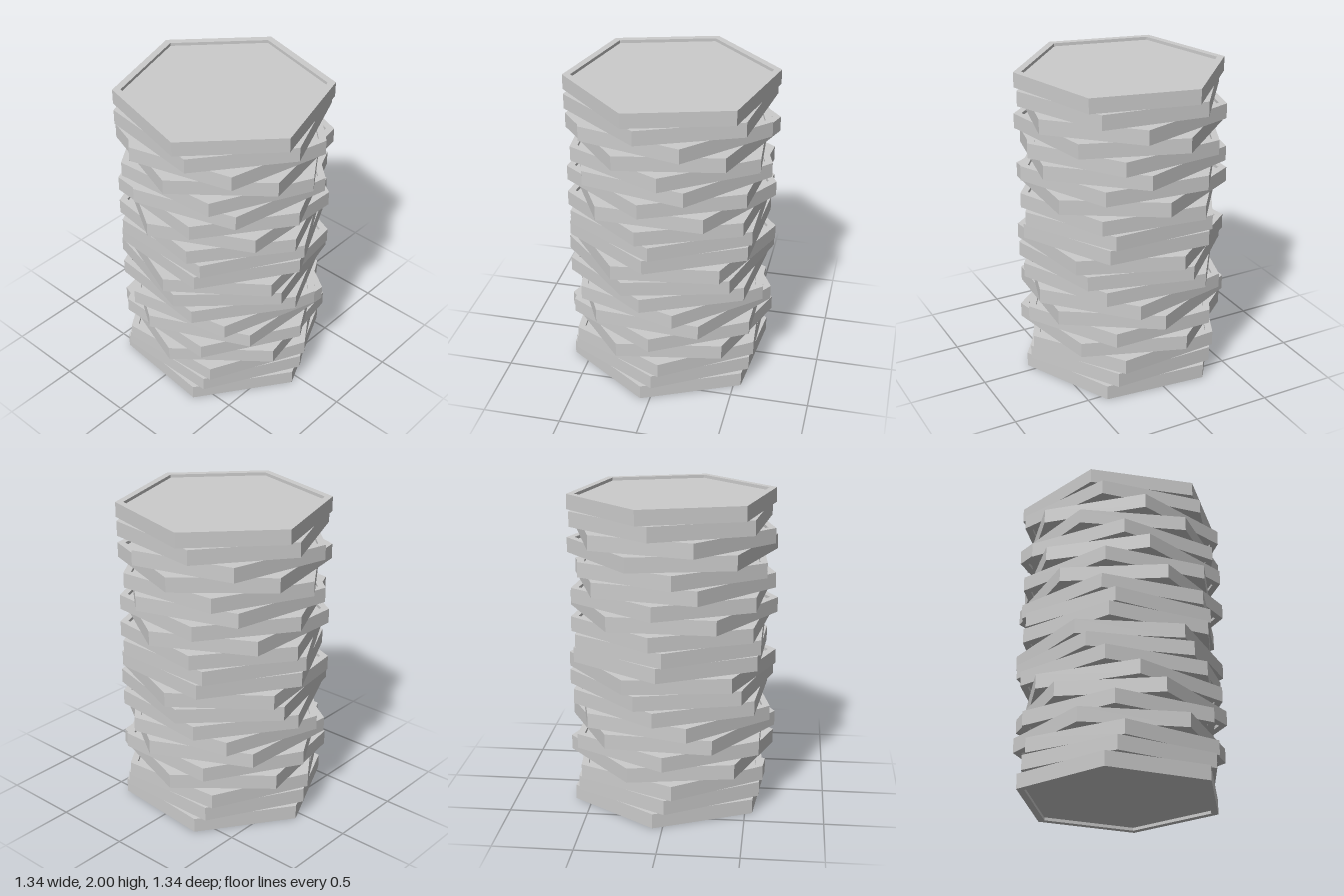
import * as THREE from 'three';

// Turn of each plate about the vertical axis, in degrees, bottom to top
const TURNS = [
  -5.3, 0.9, 4.7, -19.6, -0.2, -33.5, 12.5,
  -5.3, -15.5, -21.9, -3.4, -0.2, -7.3, -31.5,
  -5.5, 18.2, 4.7, -19.6, 16, -7.3, -13.8,
];
const RADIUS = 0.67;
const INNER = 0.62;
const RECESS = 0.02;

export function createModel() {
  const model = new THREE.Group();
  model.name = 'twistedHexagonStack';
  const material = new THREE.MeshStandardMaterial({ color: 0xcccccc, flatShading: true });
  const h = 2 / TURNS.length;

  // Six-sided plate with a raised rim and a shallow recess above and below
  const profile = [
    [0, RECESS], [INNER, RECESS], [INNER, 0], [RADIUS, 0],
    [RADIUS, h], [INNER, h], [INNER, h - RECESS], [0, h - RECESS],
  ].map(([r, y]) => new THREE.Vector2(r, y));
  const plateGeometry = new THREE.LatheGeometry(profile, 6);

  // Stack of plates, each turned by its own angle
  TURNS.forEach((turn, i) => {
    const plate = new THREE.Mesh(plateGeometry, material);
    plate.name = `hexPlate${i + 1}`;
    plate.position.y = i * h;
    plate.rotation.y = THREE.MathUtils.degToRad(turn);
    model.add(plate);
  });
  return model;
}
